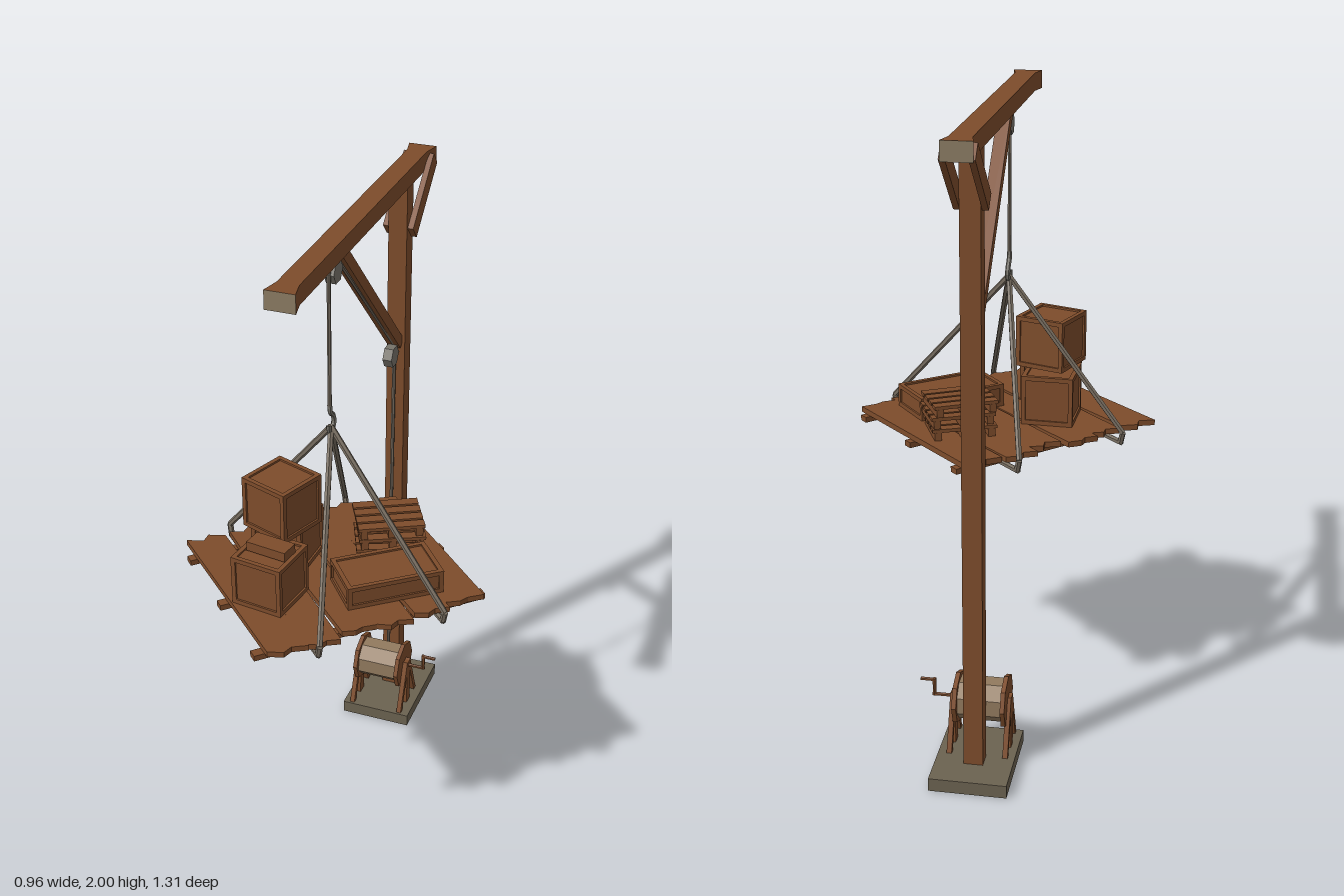
import * as THREE from 'three';

const mat = (name, color, side = THREE.FrontSide) => {
  const m = new THREE.MeshStandardMaterial({ color, side });
  m.name = name;
  m.flatShading = true;
  return m;
};

export function createModel() {
  const wood = mat('wood', 0x7d4c2b);
  const endGrain = mat('end grain', 0x8a7a62);
  const stone = mat('stone', 0x6b6250);
  const rope = mat('rope', 0x776d60);
  const metal = mat('metal', 0x77736a);
  const drumTan = mat('drum wood', 0x927a5e);

  const root = new THREE.Group();
  root.name = 'cargoCrane';
  const V = (x, y, z) => new THREE.Vector3(x, y, z);
  const group = (name, parent = root) => {
    const g = new THREE.Group();
    g.name = name;
    parent.add(g);
    return g;
  };
  const add = (parent, name, geo, m, x = 0, y = 0, z = 0) => {
    const mesh = new THREE.Mesh(geo, m);
    mesh.name = name;
    mesh.position.set(x, y, z);
    parent.add(mesh);
    return mesh;
  };
  const box = (parent, name, w, h, d, x, y, z, m = wood) =>
    add(parent, name, new THREE.BoxGeometry(w, h, d), m, x, y, z);
  // straight member between two points
  const span = (parent, name, geo, m, a, b) => {
    const mesh = add(parent, name, geo, m);
    mesh.position.copy(a).lerp(b, 0.5);
    mesh.lookAt(b);
    return mesh;
  };
  const bar = (parent, name, a, b, w, h, m = wood) =>
    span(parent, name, new THREE.BoxGeometry(w, h, a.distanceTo(b)), m, a, b);
  const rod = (parent, name, a, b, r, m = rope) =>
    span(parent, name, new THREE.CylinderGeometry(r, r, a.distanceTo(b), 6).rotateX(Math.PI / 2), m, a, b);
  const wheel = (parent, name, r, w, sides, m, x, y, z) =>
    add(parent, name, new THREE.CylinderGeometry(r, r, w, sides).rotateZ(Math.PI / 2), m, x, y, z);
  const CX = -0.012;

  // hollow stone footing
  const rim = new THREE.Shape([[-0.12, -0.16], [0.12, -0.16], [0.12, 0.16], [-0.12, 0.16]].map(p => new THREE.Vector2(...p)));
  rim.holes.push(new THREE.Path([[-0.095, -0.135], [-0.095, 0.135], [0.095, 0.135], [0.095, -0.135]].map(p => new THREE.Vector2(...p))));
  const footing = group('footing');
  add(footing, 'footingRim', new THREE.ExtrudeGeometry(rim, { depth: 0.03, bevelEnabled: false }).rotateX(-Math.PI / 2), stone, CX, 0, -0.425);
  box(footing, 'footingTop', 0.24, 0.012, 0.32, CX, 0.036, -0.425, stone);

  // post, and beam with flared ends
  box(root, 'post', 0.06, 1.93, 0.056, CX, 0.975, -0.457);
  const beamGeo = new THREE.BoxGeometry(0.064, 0.056, 1.16, 1, 1, 20);
  const bp = beamGeo.attributes.position;
  for (let i = 0; i < bp.count; i++) {
    if (Math.abs(bp.getZ(i)) > 0.57) bp.setX(i, bp.getX(i) * 1.4);
  }
  beamGeo.computeVertexNormals();
  add(root, 'beam', beamGeo, [wood, wood, wood, wood, endGrain, endGrain], CX, 1.967, -0.08);

  // braces
  for (const s of [-1, 1]) bar(root, 'rearBrace', V(CX + s * 0.04, 1.79, -0.45), V(CX + s * 0.04, 1.965, -0.64), 0.018, 0.054);
  bar(root, 'frontBrace', V(CX, 1.42, -0.43), V(CX, 1.95, 0.09), 0.04, 0.036);

  // pulleys and hoisting rope
  wheel(root, 'lowerPulley', 0.036, 0.03, 6, metal, CX, 1.395, -0.38);
  wheel(root, 'upperPulley', 0.036, 0.03, 6, metal, CX, 1.895, 0.118);
  const line = [V(CX, 0.25, -0.40), V(CX, 1.39, -0.415), V(CX, 1.42, -0.41), V(CX, 1.915, 0.085), V(CX, 1.925, 0.13),
    V(CX, 1.9, 0.154), V(CX, 1.48, 0.154)];
  const hoist = group('hoistRope');
  for (let i = 1; i < line.length; i++) rod(hoist, 'ropeLength', line[i - 1], line[i], 0.006);

  // hook
  const hookPath = new THREE.CatmullRomCurve3([V(CX, 1.49, 0.154), V(CX, 1.465, 0.15), V(CX, 1.445, 0.128), V(CX, 1.42, 0.122),
    V(CX, 1.402, 0.14), V(CX, 1.41, 0.162), V(CX, 1.43, 0.164)]);
  add(root, 'hook', new THREE.TubeGeometry(hookPath, 14, 0.008, 6), metal);

  // winch
  const winch = group('winch');
  const WY = 0.2, WZ = -0.355;
  wheel(winch, 'drum', 0.068, 0.15, 8, drumTan, -0.018, WY, WZ).rotation.x = Math.PI / 8;
  for (const x of [-0.092, 0.058]) {
    wheel(winch, 'drumFlange', 0.083, 0.014, 8, wood, x, WY, WZ);
    const lx = x + (x < 0 ? -0.01 : 0.015);
    for (const dz of [-0.075, 0, 0.075]) bar(winch, 'winchLeg', V(lx, 0.04, WZ + dz), V(lx, WY + 0.015, WZ + dz * 0.1), 0.016, dz ? 0.018 : 0.034);
  }
  wheel(winch, 'axle', 0.012, 0.19, 6, wood, -0.014, WY, WZ);
  rod(winch, 'crankShaft', V(0.07, WY, WZ), V(0.14, WY, WZ), 0.006, wood);
  rod(winch, 'crankArm', V(0.134, WY - 0.004, WZ), V(0.134, 0.255, WZ), 0.006, wood);
  rod(winch, 'crankHandle', V(0.13, 0.25, WZ), V(0.177, 0.25, WZ), 0.006, wood);

  // plank platform, turned an eighth; each plank: centre z, width, near end, far end, twist
  const platform = group('platform');
  platform.position.set(0, 0, 0.18);
  platform.rotation.y = -Math.PI / 4;
  const planks = [
    [-0.292, 0.125, -0.30, 0.32, 0],
    [-0.172, 0.108, -0.325, 0.335, 0.02],
    [-0.058, 0.112, -0.30, 0.345, -0.015],
    [0.058, 0.106, -0.33, 0.325, 0.015],
    [0.168, 0.102, -0.315, 0.345, -0.02],
    [0.286, 0.12, -0.325, 0.335, 0.02],
  ];
  planks.forEach(([z, w, a, b, t], i) => {
    // notched plank ends
    const n = 0.012 + 0.006 * (i % 3), h = w / 2;
    const s = new THREE.Shape([[a, -h], [b - n, -h], [b, -h * 0.3], [b - n * 0.6, h * 0.2], [b, h], [a + n, h], [a, h * 0.2], [a + n, -h * 0.2]]
      .map(p => new THREE.Vector2(...p)));
    const m = add(platform, 'plank', new THREE.ExtrudeGeometry(s, { depth: 0.018, bevelEnabled: false }).rotateX(-Math.PI / 2), wood, 0, 0.926, z);
    m.rotation.y = t;
  });
  for (const x of [-0.25, 0.01, 0.28]) box(platform, 'cleat', 0.03, 0.018, 0.745, x, 0.917, 0);

  // slings from hook to platform edges and under the planks
  const slings = group('slings');
  const apex = V(CX, 1.415, 0.145);
  const toWorld = (x, y, z) => V((x - z) * Math.SQRT1_2, y, (x + z) * Math.SQRT1_2 + 0.18);
  for (const z of [-0.205, 0.195]) {
    for (const s of [-1, 1]) {
      const top = toWorld(s * 0.355, 0.945, z), low = toWorld(s * 0.345, 0.91, z);
      rod(slings, 'slingLeg', apex, top, 0.0095);
      rod(slings, 'slingTurn', top, low, 0.0095);
    }
    rod(slings, 'slingUnder', toWorld(-0.35, 0.91, z), toWorld(0.35, 0.91, z), 0.0095);
  }

  // framed crates
  const cargo = group('cargo');
  const crate = (name, w, h, d, x, y, z, turn) => {
    const g = group(name, cargo);
    g.position.set(x, y + h / 2, z);
    g.rotation.y = turn;
    const t = 0.014, k = 0.012;
    box(g, 'cratePanels', w - k, h - k, d - k, 0, 0, 0);
    for (const a of [-1, 1]) for (const b of [-1, 1]) {
      box(g, 'crateEdge', w, t, t, 0, a * (h - t) / 2, b * (d - t) / 2);
      box(g, 'crateEdge', t, h, t, a * (w - t) / 2, 0, b * (d - t) / 2);
      box(g, 'crateEdge', t, t, d, a * (w - t) / 2, b * (h - t) / 2, 0);
    }
  };
  crate('rearCrate', 0.165, 0.16, 0.17, -0.147, 0.945, 0.17, -0.04);
  crate('frontCrate', 0.165, 0.16, 0.165, -0.115, 0.945, 0.385, -0.14);
  crate('topCrate', 0.166, 0.165, 0.166, -0.135, 1.107, 0.235, -0.35);
  crate('flatCrate', 0.3, 0.075, 0.17, 0.19, 0.945, 0.215, 0.68);

  // short timber with pale end resting on the front crate
  const timber = add(cargo, 'timber', new THREE.BoxGeometry(0.13, 0.03, 0.06), [wood, endGrain, wood, wood, wood, wood], -0.11, 1.12, 0.385);
  timber.rotation.y = -0.15;

  // stacked pallets
  for (let i = 0; i < 3; i++) {
    const g = group('pallet', cargo);
    g.position.set(0.12 + 0.006 * (i % 2), 0.945 + i * 0.039, 0.005);
    g.rotation.y = 0.45 + 0.04 * (i - 1);
    for (const x of [-0.085, 0, 0.085]) box(g, 'palletRunner', 0.022, 0.026, 0.16, x, 0.013, 0);
    for (let k = 0; k < 4; k++) box(g, 'palletSlat', 0.205, 0.011, 0.033, 0, 0.031, -0.063 + k * 0.042);
  }
  return root;
}
